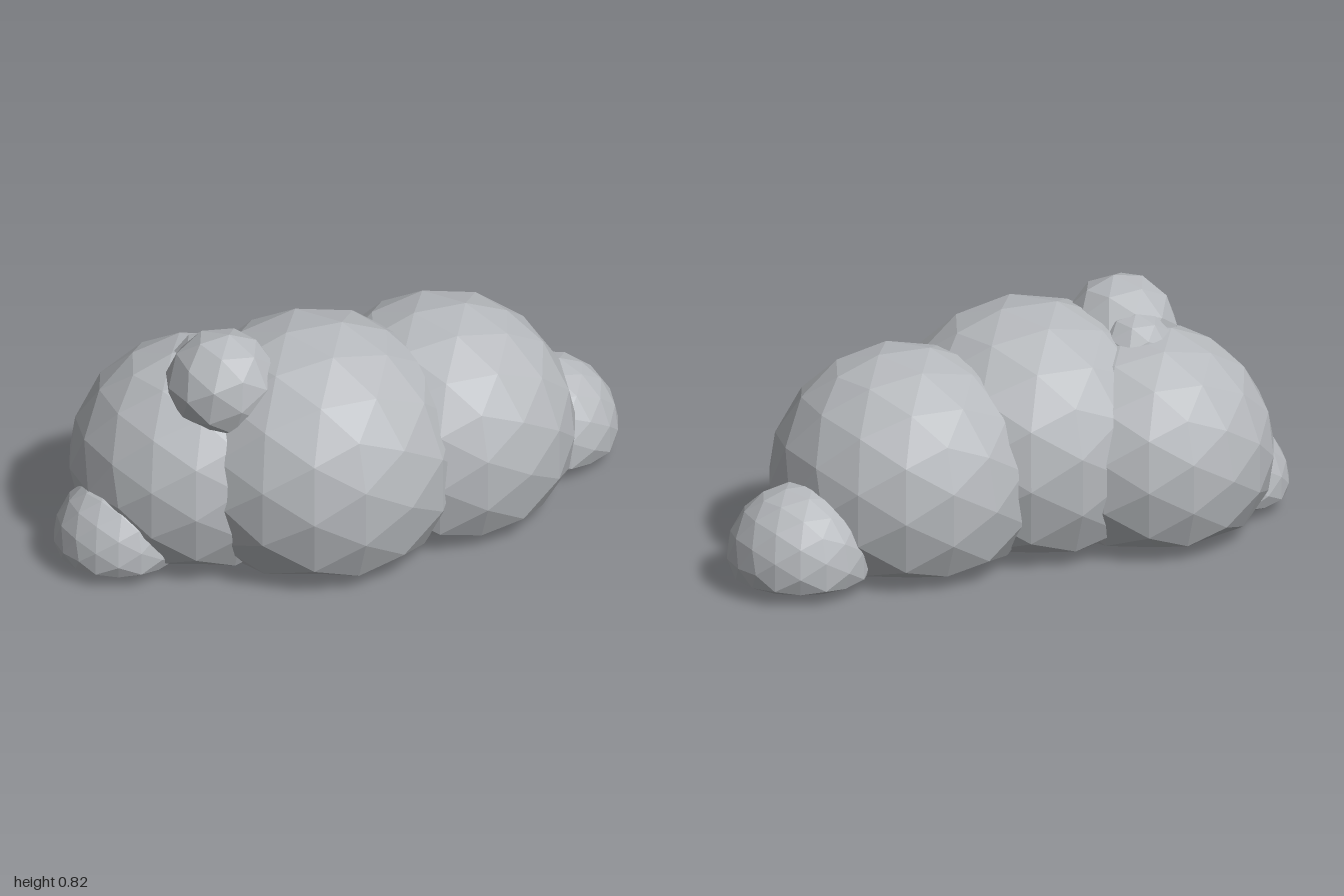
import * as THREE from 'three';

const cloudGrey = new THREE.MeshStandardMaterial({ color: 0xb6b9bd, flatShading: true });
cloudGrey.name = 'cloud grey';

// Below this height the puffs are squashed to form the flat cloud base
const BASE = 0.058;
const SQUASH = 0.24;

function puff(name, [x, y, z], radius, detail, tilt = [0, 0, 0]) {
  const geometry = new THREE.IcosahedronGeometry(radius, detail);
  geometry.rotateX(tilt[0]).rotateY(tilt[1]).rotateZ(tilt[2]);
  geometry.translate(x, y, z);
  const pos = geometry.attributes.position;
  for (let i = 0; i < pos.count; i++) {
    const h = pos.getY(i);
    if (h < BASE) pos.setY(i, BASE + (h - BASE) * SQUASH);
  }
  geometry.computeVertexNormals();
  const mesh = new THREE.Mesh(geometry, cloudGrey);
  mesh.name = name;
  return mesh;
}

export function createModel() {
  const cloud = new THREE.Group();
  cloud.name = 'cloud';
  cloud.add(
    // Three large puffs forming the body
    puff('middlePuff', [-0.13, 0.297, 0.04], 0.482, 2),
    puff('leftPuff', [0.34, 0.265, -0.04], 0.447, 2),
    puff('rightPuff', [-0.485, 0.272, -0.11], 0.418, 2),
    // Small puffs at both ends
    puff('leftEndPuff', [0.765, 0.105, -0.185], 0.24, 2),
    puff('rightEndPuff', [-0.79, 0.09, -0.02], 0.214, 2),
    // Small puffs on top
    puff('topPuff', [-0.46, 0.635, 0.06], 0.187, 1, [0.05, 0, -0.12]),
    puff('topBackPuff', [-0.455, 0.61, -0.085], 0.13, 1),
  );
  return cloud;
}
